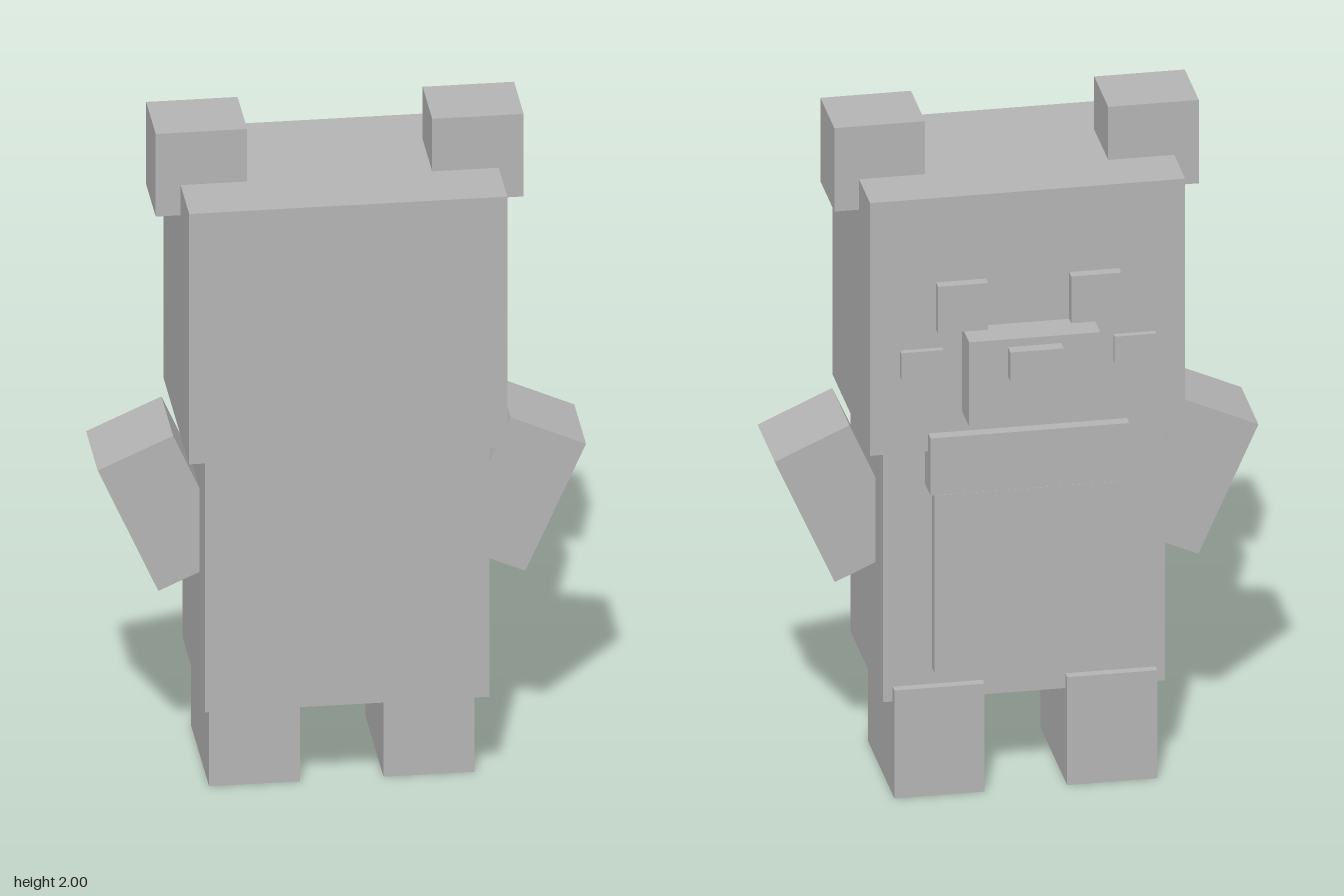
import * as THREE from 'three';

export function createModel() {
  const model = new THREE.Group();
  model.name = 'blockAnimal';
  const grey = new THREE.MeshStandardMaterial({ color: 0xb4b4b4 });
  grey.name = 'plain grey';

  // Box given by its lower and upper limits on each axis
  function block(name, [x0, x1], [y0, y1], [z0, z1]) {
    const mesh = new THREE.Mesh(new THREE.BoxGeometry(x1 - x0, y1 - y0, z1 - z0), grey);
    mesh.position.set((x0 + x1) / 2, (y0 + y1) / 2, (z0 + z1) / 2);
    mesh.name = name;
    model.add(mesh);
    return mesh;
  }

  // The same block on both sides of the body
  function pair(name, [x0, x1], y, z, tilt = 0) {
    block(name + 'Left', [x0, x1], y, z).rotation.z = -tilt;
    block(name + 'Right', [-x1, -x0], y, z).rotation.z = tilt;
  }

  // Head and torso
  block('head', [-0.447, 0.447], [1.065, 1.838], [-0.212, 0.352]);
  block('torso', [-0.4, 0.4], [0.285, 1.065], [-0.16, 0.328]);

  // Ears, tilted arms and legs
  pair('ear', [0.26, 0.517], [1.745, 2.0], [-0.047, 0.163]);
  pair('arm', [0.379, 0.611], [0.641, 1.059], [-0.047, 0.211], 0.42);
  pair('leg', [0.117, 0.373], [0, 0.33], [-0.187, 0.211]);

  // Face on the -z side
  block('muzzle', [-0.186, 0.186], [1.18, 1.437], [-0.317, -0.2]);
  block('nose', [-0.076, 0.076], [1.325, 1.413], [-0.354, -0.3]);
  pair('eye', [0.118, 0.26], [1.437, 1.58], [-0.243, -0.2]);
  pair('cheek', [0.243, 0.362], [1.3, 1.38], [-0.231, -0.2]);

  // Collar and belly panel
  block('collar', [-0.282, 0.282], [0.945, 1.12], [-0.247, -0.14]);
  block('bellyPanel', [-0.262, 0.262], [0.38, 0.922], [-0.198, -0.14]);

  return model;
}
